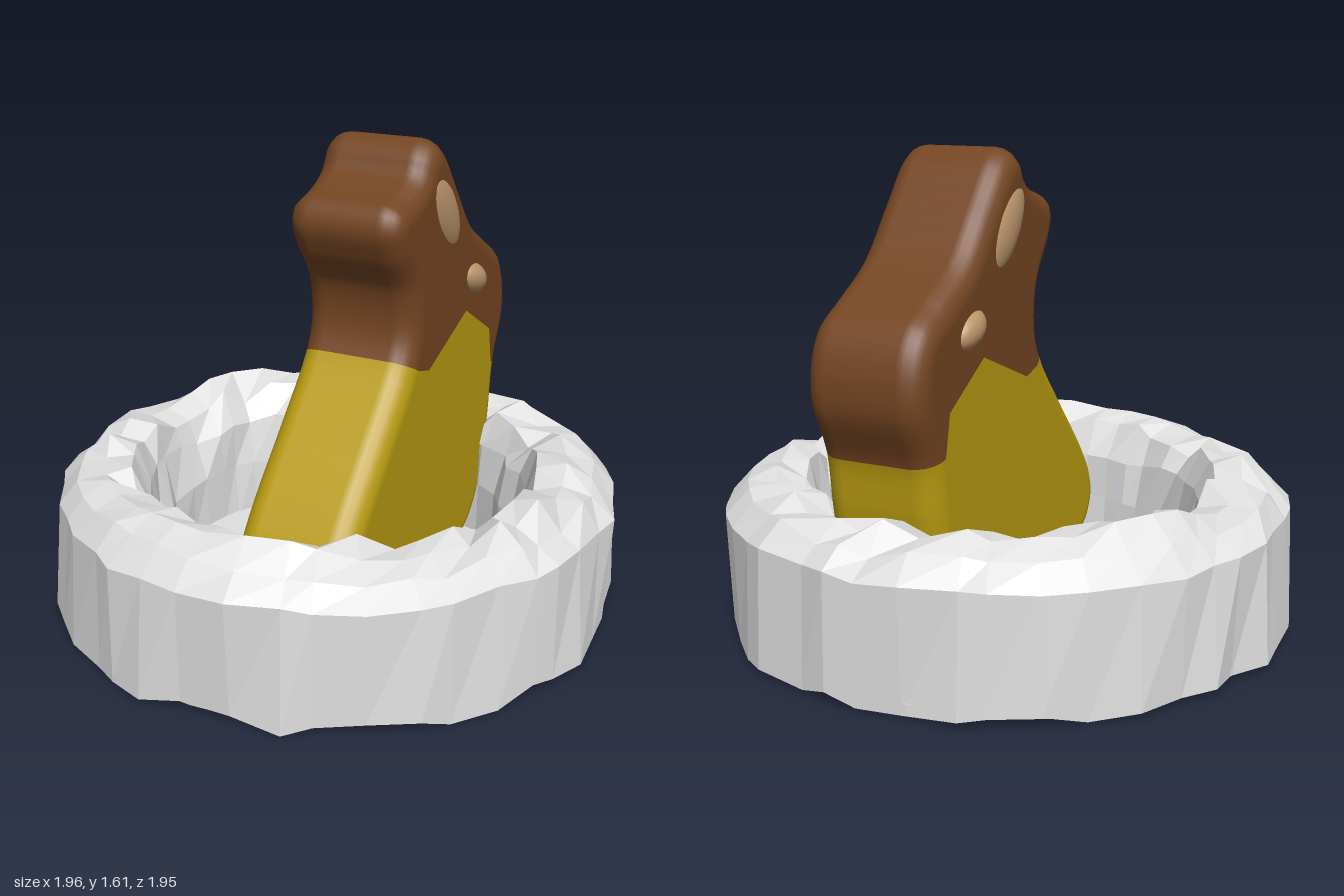
import * as THREE from 'three';

const mat = (name, color) => {
  const m = new THREE.MeshStandardMaterial({ color });
  m.name = name;
  return m;
};

export function createModel() {
  const group = new THREE.Group();
  group.name = 'rabbitInNest';
  const brown = mat('brown', 0x744522);
  const gold = mat('gold', 0xb89b10);
  const tan = mat('tan', 0xb9936a);
  const white = mat('white', 0xe0e0e0);
  white.flatShading = true;

  const add = (name, geometry, material) => {
    const mesh = new THREE.Mesh(geometry, material);
    mesh.name = name;
    group.add(mesh);
    return mesh;
  };

  // Rabbit outline as (z, y): head first, front to back, then the wrapped body
  const head = [[0.10, 0.92], [0.065, 1.02], [0.08, 1.15], [0.165, 1.28], [0.195, 1.37], [0.165, 1.44],
    [0.065, 1.475], [-0.015, 1.52], [-0.055, 1.585], [-0.12, 1.62], [-0.19, 1.59], [-0.31, 1.45],
    [-0.445, 1.29], [-0.60, 1.19], [-0.71, 1.12], [-0.765, 1.02], [-0.775, 0.87], [-0.70, 0.69]];
  const body = [[-0.675, 0.51], [-0.63, 0.3], [-0.52, 0.12], [-0.35, 0.03], [-0.1, 0.012], [0.1, 0.025],
    [0.35, 0.08], [0.51, 0.16], [0.57, 0.28], [0.55, 0.38], [0.46, 0.51], [0.27, 0.72]];
  const zigzag = [[-0.59, 0.85], [-0.365, 0.98], [-0.055, 0.855]]; // colour border, back to front
  const control = [...head, ...body];
  const curve = new THREE.CatmullRomCurve3(control.map(([z, y]) => new THREE.Vector3(0, y, z)), true, 'centripetal');
  const STEPS = 4, total = control.length * STEPS, seam = (head.length - 1) * STEPS;
  const outline = Array.from({ length: total }, (_, i) => {
    const p = curve.getPoint(i / total), t = curve.getTangent(i / total);
    return { z: p.z, y: p.y, nz: t.y, ny: -t.z };
  });

  // Rounded edge: rings from the left side to the right side
  const CX = 0.115, HALF = 0.208, R = 0.085, ROUND = 5;
  const rings = [];
  for (const side of [1, -1]) {
    for (let k = 0; k <= ROUND; k++) {
      const a = (side > 0 ? ROUND - k : k) / ROUND * Math.PI / 2;
      rings.push({ x: CX + side * (HALF - R + R * Math.sin(a)), inset: R * (1 - Math.cos(a)), c: Math.cos(a), s: side * Math.sin(a) });
    }
  }

  // One colour of the rabbit: rim strips between two outline indices plus both flat sides
  const rabbitPart = (from, to, border) => {
    const pos = [], nor = [];
    const rim = (i, ring) => {
      const o = outline[i % total];
      pos.push(ring.x, o.y - o.ny * ring.inset, o.z - o.nz * ring.inset);
      nor.push(ring.s, o.ny * ring.c, o.nz * ring.c);
    };
    for (let i = from; i < to; i++) {
      for (let j = 0; j < rings.length - 1; j++) {
        const a = rings[j], b = rings[j + 1];
        rim(i, a); rim(i + 1, a); rim(i + 1, b);
        rim(i, a); rim(i + 1, b); rim(i, b);
      }
    }
    const flat = [];
    for (let i = from; i <= to; i++) {
      const o = outline[i % total];
      flat.push(new THREE.Vector2(o.z - o.nz * R, o.y - o.ny * R));
    }
    border.forEach(([z, y]) => flat.push(new THREE.Vector2(z, y)));
    for (const tri of THREE.ShapeUtils.triangulateShape(flat, [])) {
      for (const side of [1, -1]) {
        const order = side > 0 ? [tri[0], tri[2], tri[1]] : tri;
        order.forEach((v) => {
          pos.push(CX + side * HALF, flat[v].y, flat[v].x);
          nor.push(side, 0, 0);
        });
      }
    }
    const g = new THREE.BufferGeometry();
    g.setAttribute('position', new THREE.Float32BufferAttribute(pos, 3));
    g.setAttribute('normal', new THREE.Float32BufferAttribute(nor, 3));
    return g;
  };
  add('rabbitHead', rabbitPart(0, seam, zigzag), brown);
  add('rabbitBody', rabbitPart(seam, total, [...zigzag].reverse()), gold);

  // Raised oval ears and small oval knobs on both sides
  const oval = new THREE.SphereGeometry(1, 28, 18);
  for (const [side, label] of [[1, 'left'], [-1, 'right']]) {
    const ear = add(label + 'Ear', oval, tan);
    ear.position.set(CX + side * 0.175, 1.37, -0.18);
    ear.scale.set(0.052, 0.185, 0.088);
    ear.rotation.x = 0.66;
    const knob = add(label + 'Knob', oval, tan);
    knob.position.set(CX + side * 0.185, 1.08, -0.44);
    knob.scale.set(0.056, 0.09, 0.056);
    knob.rotation.x = 1.15;
  }

  // Rough ring: a turned profile with seeded unevenness
  let seed = 7;
  const rand = () => {
    seed = (seed * 16807) % 2147483647;
    return seed / 2147483647 - 0.5;
  };
  // radius, height, radius jitter, height jitter
  const profile = [[0.6, 0.035, 0, 0], [0.975, 0.03, 0.05, 0.04], [0.965, 0.42, 0.03, 0.02],
    [0.89, 0.485, 0.02, 0.05], [0.8, 0.53, 0, 0.08], [0.7, 0.5, 0.03, 0.07],
    [0.645, 0.4, 0.04, 0.05], [0.62, 0.24, 0.03, 0.04], [0.61, 0.04, 0.02, 0]];
  const SIDES = 44, verts = [], faces = [];
  const P = profile.length;
  for (let i = 0; i < SIDES; i++) {
    const angle = (i + rand() * 0.5) / SIDES * Math.PI * 2;
    for (const [r, y, jr, jy] of profile) {
      const radius = r + rand() * jr;
      verts.push(Math.sin(angle) * radius, y + rand() * jy, Math.cos(angle) * radius);
    }
    const n = (i + 1) % SIDES;
    for (let j = 0; j < P - 1; j++) {
      const a = i * P + j, b = n * P + j;
      faces.push(a, b, b + 1, a, b + 1, a + 1);
    }
  }
  const ring = new THREE.BufferGeometry();
  ring.setAttribute('position', new THREE.Float32BufferAttribute(verts, 3));
  ring.setIndex(faces);
  ring.computeVertexNormals();
  add('nestRing', ring, white);

  // Thin floor closing the ring
  add('nestFloor', new THREE.CylinderGeometry(0.955, 0.955, 0.025, SIDES), white).position.y = 0.045;

  return group;
}
